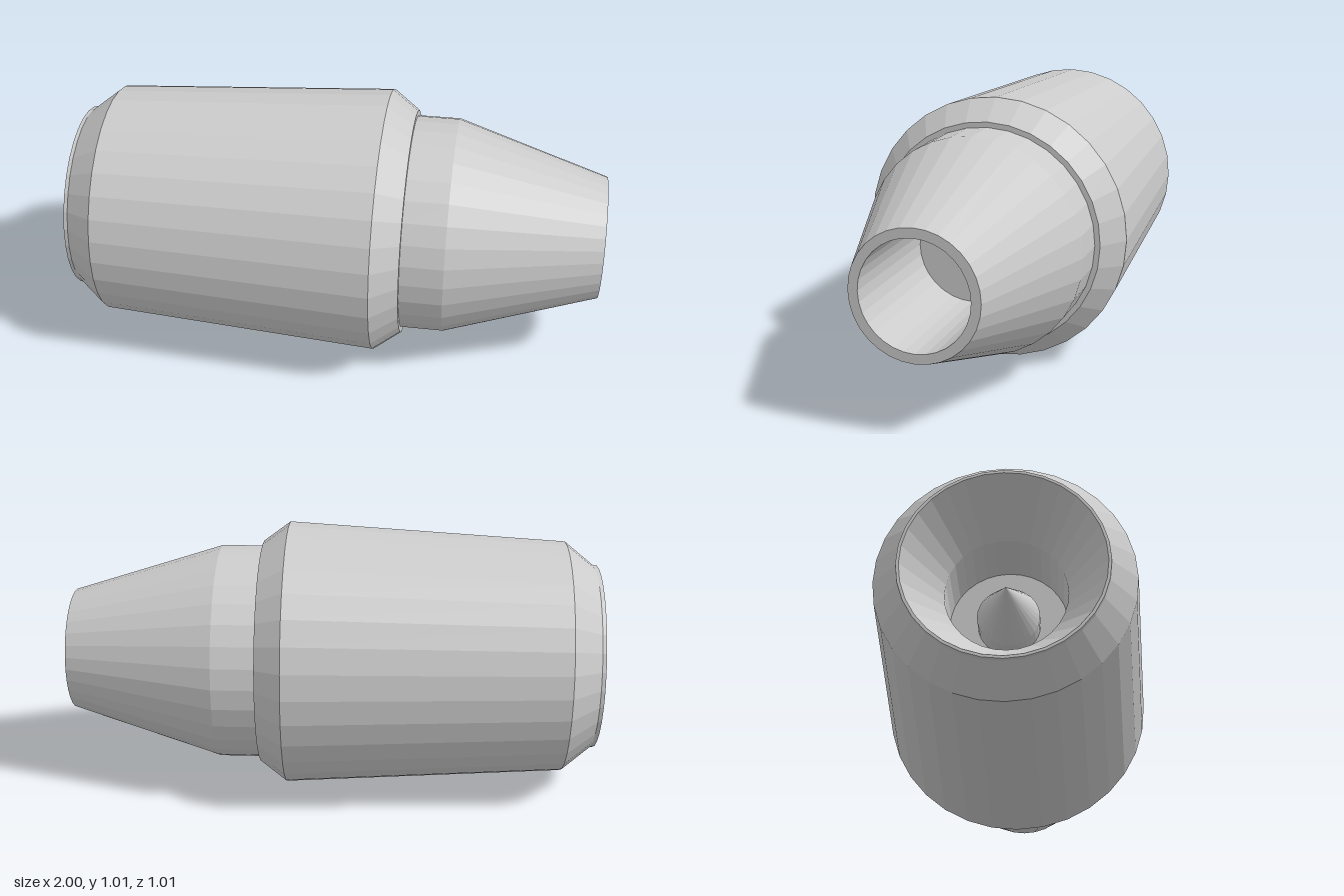
import * as THREE from 'three';

const SIDES = 32;
const AXIS_Y = 0.504;

// Profile points are [position along x, radius], turned around the x axis.
function turned(name, profile, material) {
  const points = profile.map(([x, r]) => new THREE.Vector2(r, x));
  const geometry = new THREE.LatheGeometry(points, SIDES).toNonIndexed();
  geometry.rotateZ(-Math.PI / 2);
  geometry.computeVertexNormals();
  const mesh = new THREE.Mesh(geometry, material);
  mesh.name = name;
  mesh.position.y = AXIS_Y;
  return mesh;
}

export function createModel() {
  const group = new THREE.Group();
  group.name = 'nozzle';
  const material = new THREE.MeshStandardMaterial({ color: 0xcccccc, flatShading: true });

  // Tapered sleeve with a funnel and closed bore at its rear end
  group.add(turned('sleeve', [
    [-0.55, 0], [-0.55, 0.21], [-0.78, 0.21],
    [-1, 0.34], [-1, 0.35], [-0.985, 0.352],
    [-0.875, 0.441], [0.17, 0.504], [0.27, 0.43], [0.27, 0.41],
  ], material));

  // Conical nose with a blind round bore
  group.add(turned('nose', [
    [0.27, 0.41], [0.43, 0.41], [1, 0.232],
    [1, 0.197], [0.45, 0.197], [0.45, 0],
  ], material));

  // Pointed spike inside the funnel
  group.add(turned('spike', [[-0.83, 0], [-0.62, 0.11], [-0.55, 0.11]], material));

  return group;
}
